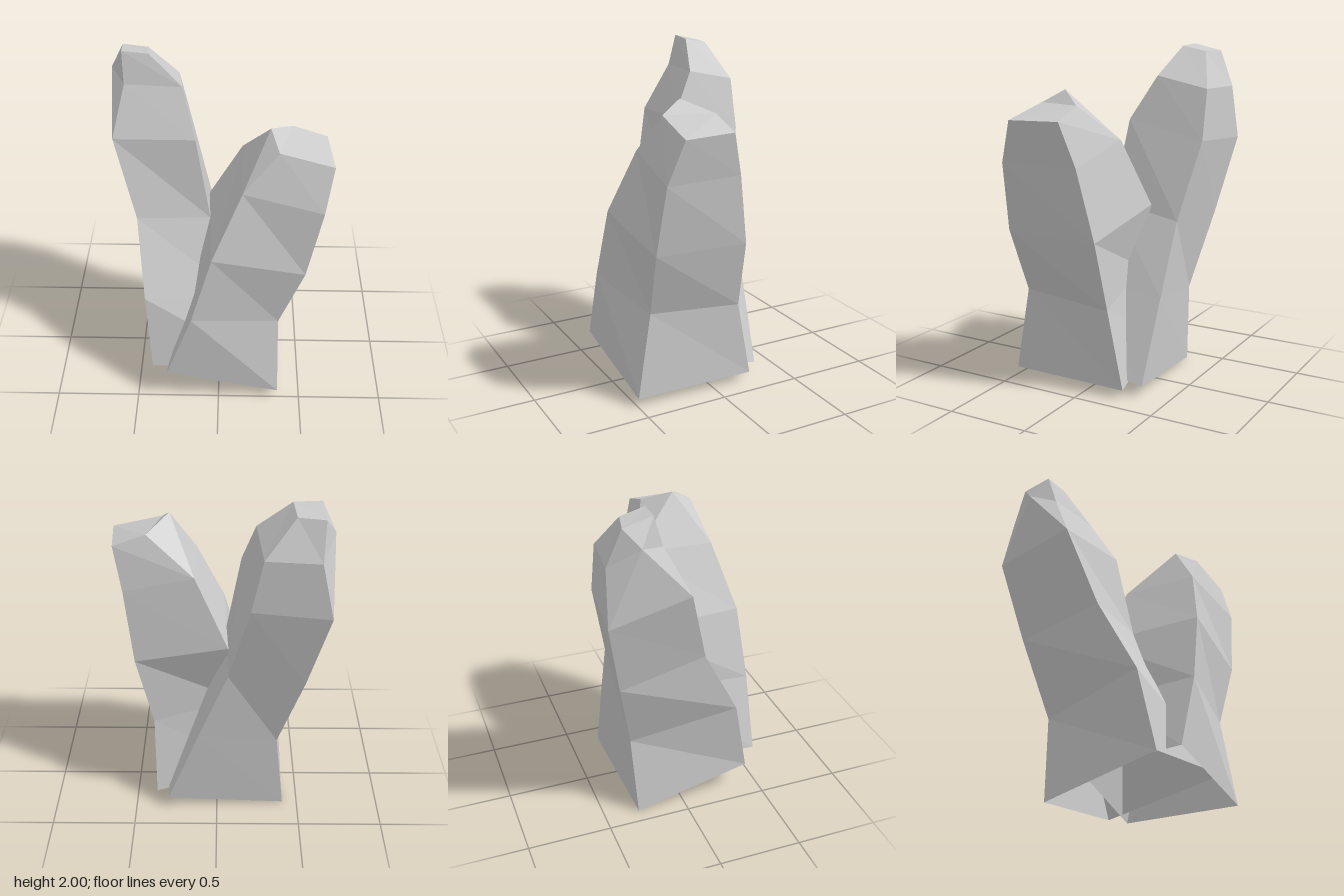
import * as THREE from 'three';

// Lofts four-cornered rings (front-left, front-right, back-right, back-left as
// seen from the front) into a faceted rock, open underneath. On the -x side,
// the rings from index `shoulder` upward close on a single ridge point instead.
function rock(name, rings, ridge, shoulder) {
  const pos = [];
  const tri = (a, b, c) => pos.push(...a, ...b, ...c);
  const quad = (a, b, c, d) => { tri(a, b, d); tri(b, c, d); };
  const last = rings.length - 1;

  // Side walls
  for (let r = 0; r < last; r++) {
    const lo = rings[r], hi = rings[r + 1];
    for (let i = 0; i < 4; i++) {
      const j = (i + 1) % 4;
      if (i === 3 && r >= shoulder) {
        tri(lo[0], hi[0], ridge);
        tri(hi[3], lo[3], ridge);
      } else quad(lo[i], lo[j], hi[j], hi[i]);
    }
  }
  // Ridge and top
  tri(rings[shoulder][3], rings[shoulder][0], ridge);
  tri(rings[last][0], rings[last][3], ridge);
  quad(...rings[last]);

  const geo = new THREE.BufferGeometry();
  geo.setAttribute('position', new THREE.Float32BufferAttribute(pos, 3));
  geo.computeVertexNormals();
  const mesh = new THREE.Mesh(geo, new THREE.MeshStandardMaterial({
    color: 0xcccccc, flatShading: true, side: THREE.DoubleSide,
  }));
  mesh.name = name;
  return mesh;
}

export function createModel() {
  const group = new THREE.Group();
  group.name = 'rockPair';

  // Shorter rock leaning to +x
  group.add(rock('shortRock', [
    [[-0.315, 0.21, 0.51], [0.365, 0.05, 0.495], [0.375, 0.05, -0.25], [-0.25, 0.2, -0.17]],
    [[-0.16, 0.65, 0.515], [0.355, 0.56, 0.41], [0.385, 0.52, -0.155], [-0.13, 0.65, -0.1]],
    [[-0.04, 1.075, 0.485], [0.495, 0.95, 0.44], [0.49, 0.935, -0.135], [-0.065, 1.065, -0.2]],
    [[0.13, 1.46, 0.375], [0.58, 1.36, 0.415], [0.55, 1.36, -0.055], [0.13, 1.47, -0.1]],
    [[0.325, 1.685, 0.31], [0.627, 1.61, 0.33], [0.605, 1.615, 0.02], [0.41, 1.685, 0.025]],
  ], [0.28, 1.76, 0.18], 3));

  // Taller rock leaning to -x and back
  group.add(rock('tallRock', [
    [[-0.41, 0.17, 0.415], [0.29, 0.22, 0.44], [0.3, 0.065, -0.335], [-0.41, 0, -0.29]],
    [[-0.445, 0.64, 0.32], [0.12, 0.62, 0.25], [0.11, 0.55, -0.355], [-0.36, 0.5, -0.32]],
    [[-0.49, 1.075, 0.09], [-0.055, 1.065, 0.06], [-0.065, 0.98, -0.37], [-0.505, 0.965, -0.42]],
    [[-0.62, 1.54, -0.045], [-0.14, 1.56, -0.01], [-0.185, 1.45, -0.47], [-0.625, 1.43, -0.512]],
    [[-0.55, 1.82, -0.185], [-0.215, 1.82, -0.157], [-0.25, 1.75, -0.465], [-0.555, 1.75, -0.495]],
    [[-0.56, 2, -0.24], [-0.405, 1.99, -0.23], [-0.42, 1.96, -0.375], [-0.57, 1.96, -0.41]],
  ], [-0.63, 1.86, -0.325], 3));

  return group;
}
